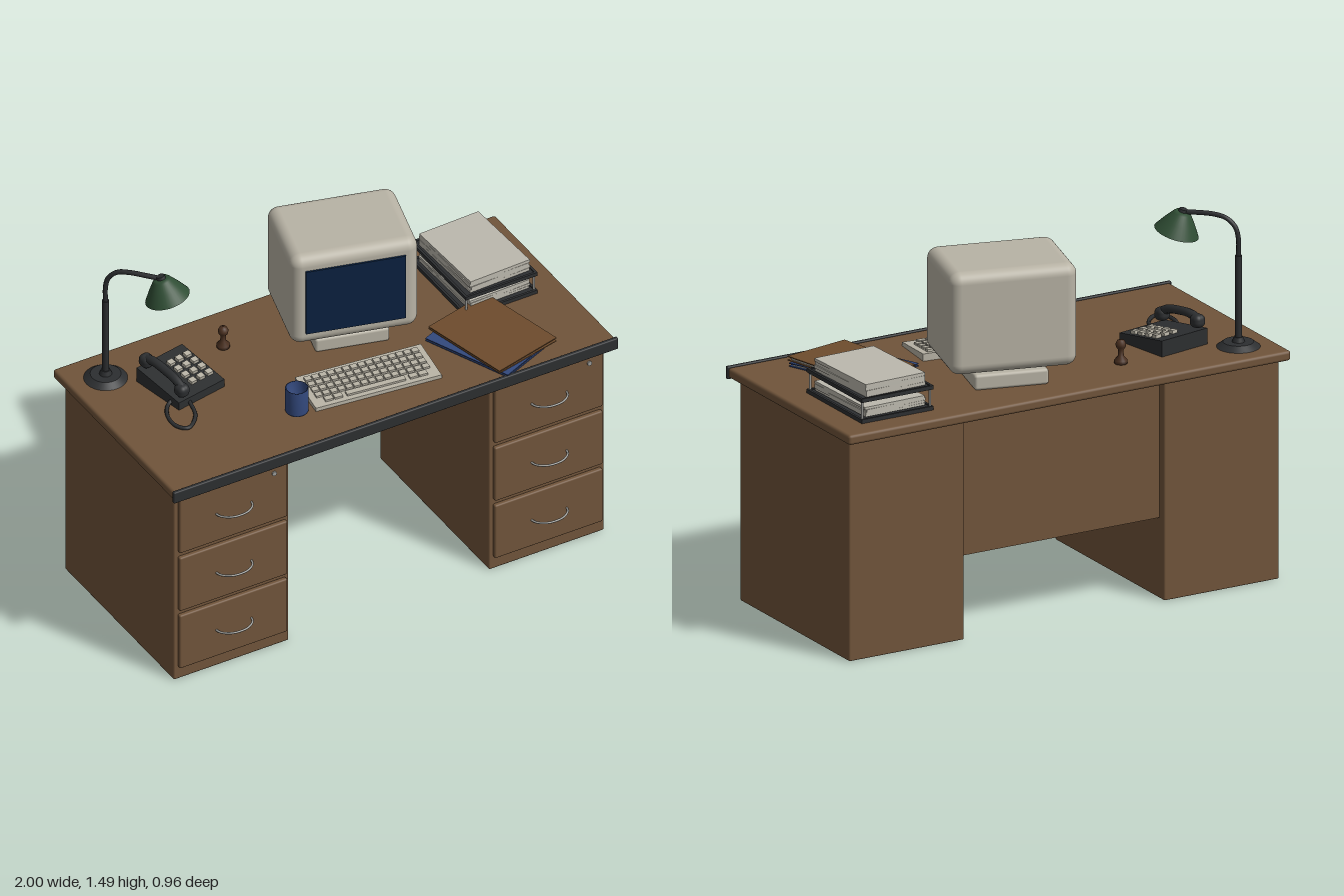
import * as THREE from 'three';
import { RoundedBoxGeometry } from 'three/addons/geometries/RoundedBoxGeometry.js';

const mat = (name, color, side = THREE.FrontSide) => {
  const m = new THREE.MeshStandardMaterial({ color, side });
  m.name = name;
  return m;
};
const V = (x, y, z) => new THREE.Vector3(x, y, z);

export function createModel() {
  const wood = mat('wood', 0x70543a);
  const cream = mat('cream plastic', 0xb8b3a5);
  const paper = mat('paper', 0xbcb9ae);
  const dark = mat('dark plastic', 0x2c2e30);
  const blue = mat('blue', 0x33497d, THREE.DoubleSide);
  const navy = mat('screen navy', 0x0a2140);
  const green = mat('lamp green', 0x2f4d34, THREE.DoubleSide);
  const metal = mat('metal', 0x9c9c98);
  const folderBrown = mat('folder brown', 0x6e4c2d);
  const darkWood = mat('dark wood', 0x4a3020);

  const TOP = 0.947; // desk surface height
  const model = new THREE.Group();
  model.name = 'officeDesk';

  const add = (parent, name, geo, material, x = 0, y = 0, z = 0) => {
    const m = new THREE.Mesh(geo, material);
    m.name = name;
    m.position.set(x, y, z);
    parent.add(m);
    return m;
  };
  const group = (name, x, y, z, turn = 0) => {
    const g = new THREE.Group();
    g.name = name;
    g.position.set(x, y, z);
    g.rotation.y = turn;
    model.add(g);
    return g;
  };
  const box = (w, h, d) => new THREE.BoxGeometry(w, h, d);
  const round = (w, h, d, r, s = 2) => new RoundedBoxGeometry(w, h, d, s, r);
  const tube = (pts, r, n = 32) =>
    new THREE.TubeGeometry(new THREE.CatmullRomCurve3(pts), n, r, 8);
  // Box standing on y = 0 whose top slopes from back to front
  const wedge = (w, d, front, back) => {
    const g = box(w, 1, d), p = g.attributes.position;
    for (let i = 0; i < p.count; i++)
      p.setY(i, p.getY(i) < 0 ? 0 : p.getZ(i) > 0 ? front : back);
    g.computeVertexNormals();
    return g;
  };

  // Desk: top, front edge, modesty panel
  add(model, 'deskTop', round(1.99, 0.041, 0.935, 0.012), wood, 0, 0.9265, -0.0135);
  add(model, 'frontEdge', round(2, 0.052, 0.017, 0.005), dark, 0, 0.927, 0.454);
  add(model, 'modestyPanel', box(0.91, 0.57, 0.025), wood, 0, 0.617, -0.385);

  // Two pedestals with three drawers each
  for (const side of [-1, 1]) {
    const p = group(side < 0 ? 'rightPedestal' : 'leftPedestal', side * 0.709, 0, 0);
    add(p, 'cabinet', round(0.517, 0.898, 0.84, 0.006, 1), wood, 0, 0.449, -0.015);
    add(p, 'topSpacer', box(0.47, 0.012, 0.78), wood, 0, 0.903, -0.015);
    [[0.06, 0.315], [0.337, 0.594], [0.617, 0.882]].forEach(([lo, hi]) => {
      const y = (lo + hi) / 2;
      add(p, 'drawerFront', round(0.485, hi - lo, 0.022, 0.007), wood, 0, y, 0.414);
      add(p, 'drawerHandle', tube([V(-0.08, y, 0.42), V(-0.072, y, 0.446), V(-0.04, y, 0.471),
        V(0, y, 0.478), V(0.04, y, 0.471), V(0.072, y, 0.446), V(0.08, y, 0.42)], 0.0045, 24), metal);
    });
    add(p, 'drawerLock', new THREE.CylinderGeometry(0.01, 0.01, 0.008, 16), metal, 0.18, 0.85, 0.427)
      .rotation.x = Math.PI / 2;
  }

  // Monitor
  const monitor = group('monitor', 0.122, 0, -0.162, -0.26);
  add(monitor, 'monitorCase', round(0.515, 0.42, 0.388, 0.045, 5), cream, 0, 1.234, 0);
  add(monitor, 'screen', box(0.403, 0.3, 0.009), navy, 0, 1.234, 0.197);
  add(monitor, 'monitorNeck', new THREE.CylinderGeometry(0.12, 0.1, 0.03, 32), cream, 0, 1.02, 0);
  add(monitor, 'monitorFoot', round(0.3, 0.064, 0.3, 0.012), cream, 0, TOP + 0.031, 0);

  // Keyboard
  const keyboard = group('keyboard', 0.025, TOP, 0.204, -0.11);
  add(keyboard, 'keyboardCase', wedge(0.535, 0.2, 0.016, 0.03), cream);
  const keys = new THREE.Group();
  keys.name = 'keyboardKeys';
  keys.position.y = 0.026;
  keys.rotation.x = Math.atan(0.014 / 0.2);
  keyboard.add(keys);
  for (let r = 0; r < 5; r++) {
    const z = (r - 2) * 0.034;
    if (r === 4) {
      add(keys, 'spaceBar', box(0.25, 0.012, 0.024), cream, 0, 0, z);
      for (const x of [-0.2, -0.16, 0.16, 0.2]) add(keys, 'key', box(0.034, 0.012, 0.024), cream, x, 0, z);
    } else for (let c = 0; c < 15; c++)
      add(keys, 'key', box(0.027, 0.012, 0.024), cream, (c - 7) * 0.0325, 0, z);
  }

  // Mug with open top
  add(model, 'mug', new THREE.LatheGeometry([[0, 0], [0.043, 0], [0.046, 0.006], [0.046, 0.11],
    [0.04, 0.11], [0.038, 0.012], [0, 0.012]].map(([x, y]) => new THREE.Vector2(x, y)), 32),
    blue, -0.312, TOP, 0.23);

  // Folders
  const folder = (name, material, x, y, z, turn, lift) => {
    const f = group(name, x, y, z, turn);
    add(f, 'backCover', box(0.305, 0.004, 0.4), material, 0, 0.002, 0);
    add(f, 'sheets', box(0.285, 0.005, 0.375), paper, 0.002, 0.006, 0);
    add(f, 'frontCover', box(0.305, 0.004, 0.4), material, 0, 0.0105 + lift * 0.15, 0).rotation.z = lift;
  };
  folder('blueFolder', blue, 0.565, TOP + 0.001, 0.217, 0.4, 0.01);
  folder('brownFolder', folderBrown, 0.58, TOP + 0.016, 0.21, 0.23, 0.02);

  // Two stacked paper trays
  const trays = group('paperTrays', 0.718, 0, -0.168);
  [[TOP, 0.962, 1.002], [1.032, 1.044, 1.096]].forEach(([y, lo, hi], level) => {
    add(trays, 'trayFloor', box(0.323, 0.012, 0.425), dark, 0, y + 0.006, 0);
    for (const s of [-1, 1]) {
      add(trays, 'trayRim', box(0.01, 0.008, 0.425), dark, s * 0.1565, y + 0.012, 0);
      add(trays, 'trayRim', box(0.323, 0.008, 0.01), dark, 0, y + 0.012, s * 0.2075);
    }
    const n = 4, t = (hi - lo) / n;
    for (let i = 0; i < n; i++)
      add(trays, 'paperStack', box(0.272, t, 0.372), paper, 0.002 * (i % 2), lo + t * (i + 0.5), 0)
        .rotation.y = 0.025 + 0.012 * ((i + level) % 3);
  });
  for (const x of [-0.152, 0.152]) for (const z of [-0.2, 0.2])
    add(trays, 'trayPost', new THREE.CylinderGeometry(0.005, 0.005, 0.09, 10), metal, x, TOP + 0.045, z);

  // Telephone
  const phone = group('telephone', -0.615, TOP, -0.147, 0.19);
  add(phone, 'phoneBody', wedge(0.235, 0.25, 0.035, 0.066), dark);
  for (let r = 0; r < 4; r++) for (let c = 0; c < 3; c++) {
    const z = (r - 1.5) * 0.042;
    add(phone, 'phoneKey', box(0.027, 0.018, 0.025), cream, 0.048 + (c - 1) * 0.042, 0.055 - z * 0.124, z)
      .rotation.x = 0.124;
  }
  const handset = new THREE.Group();
  handset.name = 'handset';
  handset.position.set(-0.085, 0.08, 0);
  handset.rotation.x = 0.12;
  phone.add(handset);
  add(handset, 'handsetGrip', tube([V(0, 0.01, -0.12), V(0, 0.03, -0.06), V(0, 0.033, 0),
    V(0, 0.03, 0.06), V(0, 0.01, 0.12)], 0.018, 20), dark);
  for (const z of [-0.105, 0.105])
    add(handset, 'handsetEnd', round(0.054, 0.054, 0.056, 0.022, 4), dark, 0, 0.005, z);
  add(model, 'phoneCord', tube([V(-0.69, 0.97, -0.06), V(-0.735, 0.957, -0.04), V(-0.77, 0.956, 0.02),
    V(-0.773, 0.956, 0.09), V(-0.74, 0.956, 0.125), V(-0.675, 0.956, 0.07), V(-0.65, 0.96, -0.02)],
    0.008, 48), dark);

  // Rubber stamp
  add(model, 'stamp', new THREE.LatheGeometry([[0, 0], [0.026, 0], [0.026, 0.014], [0.012, 0.03],
    [0.01, 0.055], [0.019, 0.068], [0.021, 0.08], [0.014, 0.094], [0, 0.098]]
    .map(([x, y]) => new THREE.Vector2(x, y)), 24), darkWood, -0.35, TOP, -0.272);

  // Desk lamp
  const lamp = group('lamp', -0.845, 0, -0.33);
  add(lamp, 'lampBase', new THREE.CylinderGeometry(0.06, 0.086, 0.02, 40), dark, 0, TOP + 0.01, 0);
  add(lamp, 'lampCollar', new THREE.CylinderGeometry(0.018, 0.025, 0.02, 24), dark, 0, TOP + 0.03, 0);
  add(lamp, 'lampPole', new THREE.CylinderGeometry(0.014, 0.014, 0.36, 20), dark, 0, 1.14, 0);
  add(lamp, 'lampArm', tube([V(0, 1.3, 0), V(0, 1.39, 0), V(0.008, 1.435, 0.01), V(0.032, 1.468, 0.036),
    V(0.065, 1.479, 0.075), V(0.11, 1.479, 0.125), V(0.148, 1.476, 0.163)], 0.01, 40), dark);
  const head = new THREE.Group();
  head.name = 'lampHead';
  head.position.set(0.152, 1.478, 0.167);
  head.quaternion.setFromUnitVectors(V(0, -1, 0), V(0.2, -0.95, 0.2).normalize());
  lamp.add(head);
  add(head, 'lampShade', new THREE.LatheGeometry([[0, 0], [0.028, 0], [0.036, -0.008], [0.062, -0.045],
    [0.09, -0.09]].map(([x, y]) => new THREE.Vector2(x, y)), 36), green);
  add(head, 'lampCap', new THREE.CylinderGeometry(0.016, 0.02, 0.016, 20), dark, 0, 0.003, 0);
  add(head, 'bulb', new THREE.SphereGeometry(0.027, 20, 14), paper, 0, -0.05, 0);

  return model;
}
